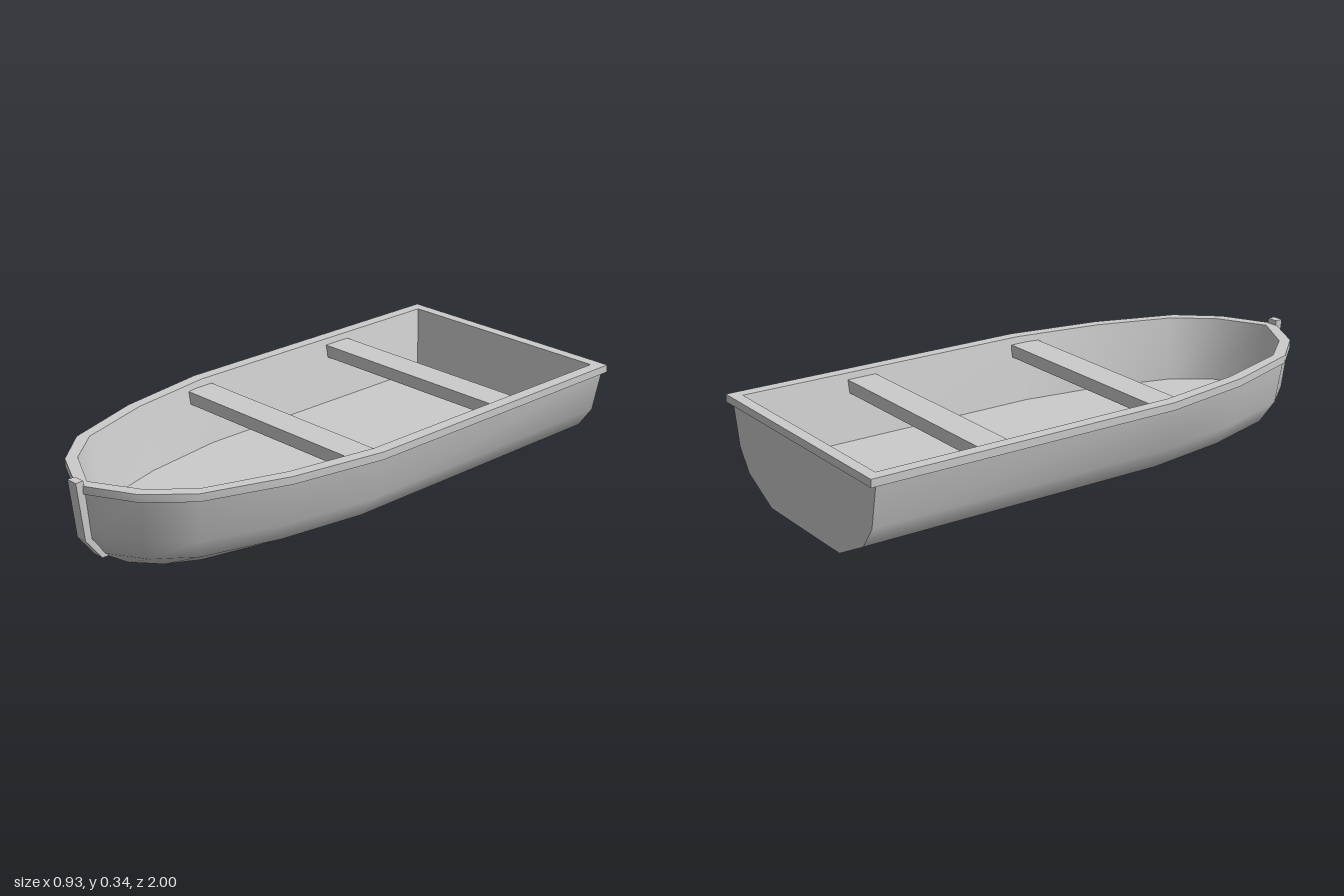
import * as THREE from 'three';
import { toCreasedNormals } from 'three/addons/utils/BufferGeometryUtils.js';

const material = new THREE.MeshStandardMaterial({ color: 0xcccccc });

// Half outline of the gunwale in plan, stern to bow: [x, z]
const HALF = [[0.463, -1], [0.463, 0.13], [0.405, 0.465], [0.305, 0.755], [0.185, 0.89], [0, 0.985]];

// Plan outline from -x stern round the bow to +x stern, fitted to a level
function outline({ w, stern, bow, y }) {
  const half = HALF.map(([x, z], i) => [
    (x * w) / 0.463,
    i === 0 ? stern : 0.13 + ((z - 0.13) * (bow - 0.13)) / 0.855,
  ]);
  const left = half.map(([x, z]) => [-x, y, z]);
  const right = half.slice(0, -1).reverse().map(([x, z]) => [x, y, z]);
  return [...left, ...right];
}

// Skin through rows of points, smooth across the whole surface
function loft(rows) {
  const n = rows[0].length;
  const index = [];
  for (let j = 0; j < rows.length - 1; j++) {
    for (let i = 0; i < n - 1; i++) {
      const a = j * n + i, b = a + 1, c = a + n, d = c + 1;
      index.push(a, b, d, a, d, c);
    }
  }
  const geometry = new THREE.BufferGeometry();
  geometry.setAttribute('position', new THREE.Float32BufferAttribute(rows.flat(2), 3));
  geometry.setIndex(index);
  geometry.computeVertexNormals();
  return geometry;
}

// Flat stern panel joining the two ends of each row
const sternPanel = (rows) => loft(rows.map((r) => [r[r.length - 1], r[0]]));

export function createModel() {
  const boat = new THREE.Group();
  boat.name = 'rowingBoat';
  const add = (name, geometry) => {
    const mesh = new THREE.Mesh(geometry, material);
    mesh.name = name;
    boat.add(mesh);
    return mesh;
  };

  // Outer hull, from the bottom centre line up to the gunwale
  const hull = [
    { w: 0, y: 0, bow: 0.8 },
    { w: 0.22, y: 0, bow: 0.8 },
    { w: 0.368, y: 0.074, bow: 0.915 },
    { w: 0.423, y: 0.15, bow: 0.963 },
    { w: 0.455, y: 0.3, bow: 0.978 },
  ].map((level) => outline({ ...level, stern: -0.98 }));
  add('hull', loft(hull));
  add('transom', sternPanel(hull.slice(1)));

  // Inner walls sloping down to the floor
  const rimLevel = { w: 0.42, y: 0.325, stern: -0.96, bow: 0.943 };
  const floorLevel = { w: 0.37, y: 0.1, stern: -0.91, bow: 0.912 };
  const inside = [rimLevel, floorLevel].map(outline);
  add('innerWall', loft(inside));
  add('innerTransom', sternPanel(inside));
  add('floor', loft([floorLevel, { ...floorLevel, w: 0 }].map(outline)));

  // Gunwale rail
  const plan = (level) => outline(level).map(([x, , z]) => new THREE.Vector2(x, z));
  const rail = new THREE.Shape(plan({ w: 0.463, stern: -1, bow: 0.985 }));
  rail.holes.push(new THREE.Path(plan(rimLevel)));
  const railGeometry = new THREE.ExtrudeGeometry(rail, { depth: 0.027, bevelEnabled: false });
  railGeometry.rotateX(Math.PI / 2).translate(0, 0.325, 0);
  add('gunwale', toCreasedNormals(railGeometry, 1.2));

  // Benches
  for (const [name, z, width] of [['rearBench', -0.518, 0.83], ['frontBench', 0.15, 0.82]]) {
    add(name, new THREE.BoxGeometry(width, 0.045, 0.11)).position.set(0, 0.28, z);
  }

  // Stem post following the bow, drawn in (z, y)
  const stem = new THREE.Shape(
    [[0.972, 0.342], [0.95, 0.14], [0.89, 0.063], [0.915, 0.063], [0.975, 0.14], [1, 0.342]]
      .map(([z, y]) => new THREE.Vector2(z, y)),
  );
  const stemGeometry = new THREE.ExtrudeGeometry(stem, { depth: 0.042, bevelEnabled: false });
  add('stemPost', stemGeometry.rotateY(-Math.PI / 2).translate(0.021, 0, 0));

  return boat;
}
